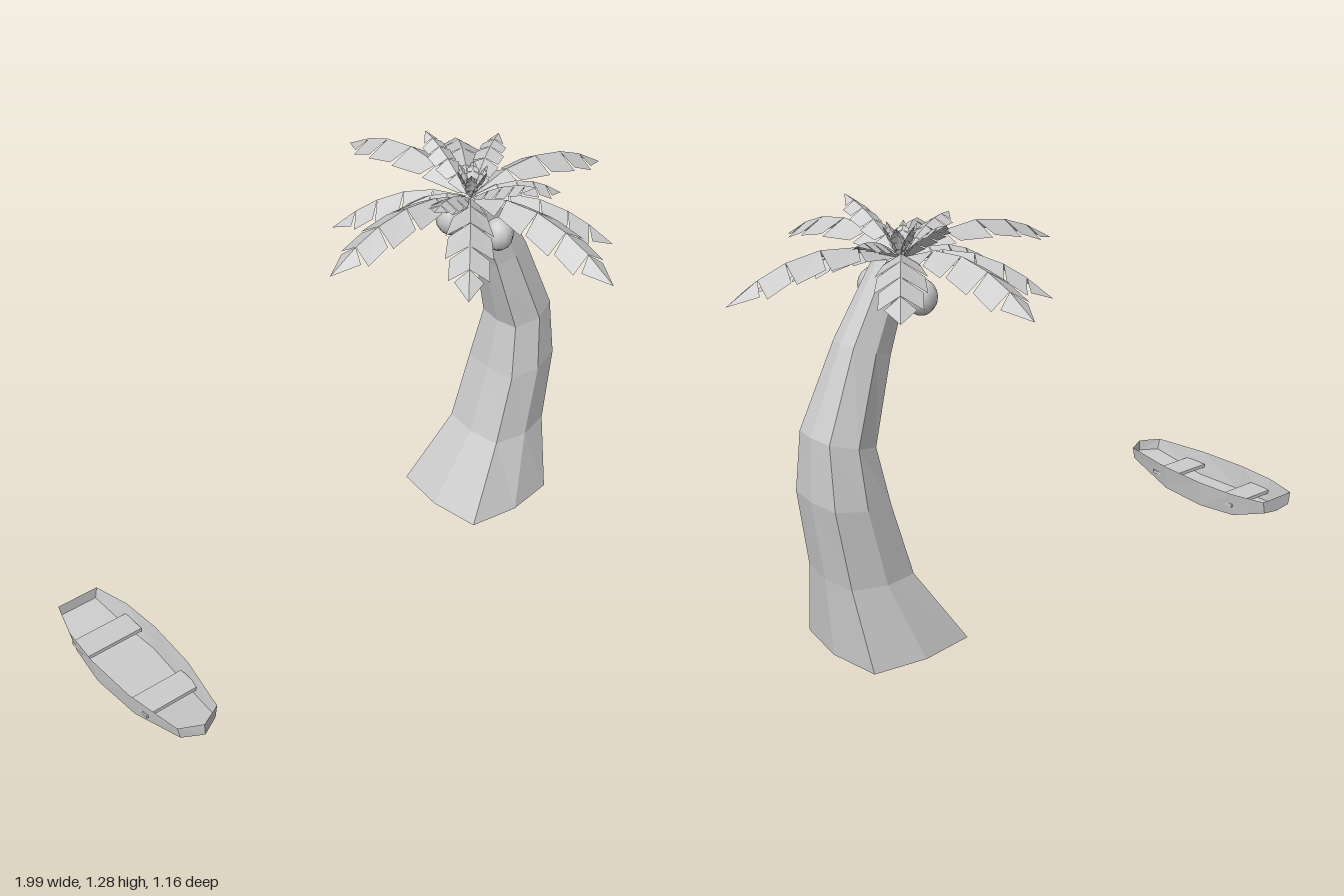
import * as THREE from 'three';

const V = (x, y, z) => new THREE.Vector3(x, y, z);

// Faceted geometry from a flat list of triangle corners
function facets(points) {
  const g = new THREE.BufferGeometry().setFromPoints(points);
  g.computeVertexNormals();
  return g;
}

const quad = (out, a, b, c, d) => out.push(a, b, c, a, c, d);

// Skin between successive cross-sections, optionally closed around
function loft(out, sections, closed) {
  for (let s = 0; s < sections.length - 1; s++) {
    const lo = sections[s], up = sections[s + 1], n = lo.length;
    for (let i = 0; i < (closed ? n : n - 1); i++) {
      const j = (i + 1) % n;
      quad(out, lo[i], up[i], up[j], lo[j]);
    }
  }
}

function fan(out, ring, flip) {
  for (let i = 1; i < ring.length - 1; i++) {
    if (flip) out.push(ring[0], ring[i + 1], ring[i]);
    else out.push(ring[0], ring[i], ring[i + 1]);
  }
}

// Bent, tapering eight-sided trunk
function trunkGeometry() {
  // left x, left y, right x, right y, half depth, corner depth
  const rows = [
    [0.35, 0, 0.735, 0, 0.195, 0.17],
    [0.505, 0.235, 0.75, 0.25, 0.135, 0.11],
    [0.57, 0.465, 0.785, 0.5, 0.125, 0.1],
    [0.6, 0.64, 0.775, 0.69, 0.105, 0.075],
    [0.525, 0.89, 0.665, 0.94, 0.07, 0.05],
    [0.44, 1.11, 0.53, 1.16, 0.045, 0.032],
  ];
  const rings = rows.map(([lx, ly, rx, ry, hz, cz]) => {
    const at = (u, z) => V(lx + (rx - lx) * u, ly + (ry - ly) * u, z);
    return [at(1, 0), at(0.93, cz), at(0.5, hz), at(0.06, cz),
      at(0, 0), at(0.06, -cz), at(0.5, -hz), at(0.93, -cz)];
  });
  const out = [];
  loft(out, rings, true);
  fan(out, rings[0], false);
  fan(out, rings[rings.length - 1], true);
  return facets(out);
}

// Folded palm leaf: arched ridge, drooping halves cut into leaflets
function frondGeometry(root, tip, arch, width) {
  const mid = root.clone().lerp(tip, 0.5);
  mid.y += arch;
  const curve = new THREE.QuadraticBezierCurve3(root, mid, tip);
  const side = V(tip.z - root.z, 0, root.x - tip.x).normalize();
  const stops = [0, 0.24, 0.46, 0.66, 0.82, 1];
  const inner = [0.25, 0.72, 0.9, 0.82, 0.6];
  const outer = [0.75, 1, 1, 0.85, 0];
  const out = [];
  for (let i = 0; i < 5; i++) {
    const a = curve.getPoint(stops[i]), b = curve.getPoint(stops[i + 1]);
    for (const s of [1, -1]) {
      const edge = (t, w) => curve.getPoint(t).addScaledVector(side, s * w * width)
        .add(V(0, -0.6 * w * width, 0));
      const step = stops[i + 1] - stops[i];
      const ea = edge(stops[i] + step * 0.18, inner[i]);
      const eb = i === 4 ? b : edge(stops[i + 1] + step * 0.05, outer[i]);
      if (s > 0) quad(out, a, ea, eb, b);
      else quad(out, a, b, eb, ea);
    }
  }
  return facets(out);
}

// Open rowing boat: hull, inner floor and benches
function buildBoat(add) {
  const cx = -0.89;
  // z, gunwale half width, chine half width, chine y, keel y
  const rows = [
    [-0.26, 0.068, 0.06, 0.078, 0.07],
    [-0.14, 0.1, 0.085, 0.037, 0.018],
    [0, 0.11, 0.1, 0.03, 0],
    [0.18, 0.102, 0.088, 0.032, 0.005],
    [0.375, 0.068, 0.06, 0.078, 0.065],
  ];
  const hull = [], floor = [];
  const sections = rows.map(([z, w, c, cy, ky]) => [V(cx - w, 0.12, z), V(cx - c, cy, z),
    V(cx, ky, z), V(cx + c, cy, z), V(cx + w, 0.12, z)]);
  loft(hull, sections.map((s) => [...s].reverse()), false);
  fan(hull, sections[0], true);
  // Pointed bow
  const end = sections[4], top = V(cx, 0.12, 0.41), low = V(cx, 0.078, 0.41);
  quad(hull, end[0], end[1], low, top);
  quad(hull, top, low, end[3], end[4]);
  hull.push(end[1], end[2], low, low, end[2], end[3]);
  add('boatHull', facets(hull));

  loft(floor, rows.map(([z, , c, cy]) => [V(cx - c, cy + 0.004, z), V(cx + c, cy + 0.004, z)]), false);
  floor.push(V(cx - 0.06, 0.082, 0.375), V(cx, 0.082, 0.41), V(cx + 0.06, 0.082, 0.375));
  add('boatFloor', facets(floor));

  for (const [z, depth, w] of [[-0.1, 0.085, 0.19], [0.205, 0.085, 0.178]]) {
    const bench = new THREE.BoxGeometry(w, 0.012, depth);
    add('boatBench', bench.translate(cx, 0.075, z));
  }
}

export function createModel() {
  const model = new THREE.Group();
  model.name = 'palmAndBoat';
  const grey = new THREE.MeshStandardMaterial({ color: 0xcccccc, side: THREE.DoubleSide });
  grey.name = 'lightGrey';
  const add = (name, geometry) => {
    const mesh = new THREE.Mesh(geometry, grey);
    mesh.name = name;
    model.add(mesh);
    return mesh;
  };

  add('trunk', trunkGeometry());

  // Crown: tip x, y, z, arch, half width
  const fronds = [
    [-0.12, 1.1, 0.03, 0.16, 0.068], [0.99, 1.1, 0.03, 0.16, 0.068],
    [0.46, 1.1, -0.58, 0.16, 0.075], [0.46, 1.1, 0.58, 0.16, 0.075],
    [0.73, 1.1, -0.38, 0.14, 0.07], [0.1, 1.09, 0.37, 0.14, 0.07],
    [0.74, 1.02, 0.33, 0.13, 0.068], [0.14, 1.03, -0.28, 0.13, 0.065],
    [0.46, 1.28, 0.26, 0.04, 0.045], [0.46, 1.28, -0.22, 0.04, 0.045],
    [0.68, 1.24, -0.12, 0.05, 0.045], [0.21, 1.22, 0.1, 0.05, 0.045],
    [0.73, 1.11, 0.11, 0.09, 0.05], [0.2, 1.1, -0.1, 0.09, 0.05],
  ];
  for (const [x, y, z, arch, width] of fronds) {
    const out = V(x - 0.45, 0, z).normalize().multiplyScalar(0.015);
    add('frond', frondGeometry(V(0.45 + out.x, 1.15, out.z), V(x, y, z), arch, width));
  }

  // Young upright leaves in the middle
  for (let i = 0; i < 6; i++) {
    const a = (i / 6) * Math.PI * 2 + 0.3;
    const tip = V(0.455 + 0.05 * Math.cos(a), 1.24, 0.05 * Math.sin(a));
    add('youngLeaf', frondGeometry(V(0.455, 1.14, 0), tip, 0.02, 0.02));
  }

  // Coconuts under the crown
  for (const [x, y, z] of [[0.48, 1.05, 0.1], [0.44, 1.045, -0.07]]) {
    const nut = new THREE.SphereGeometry(0.047, 10, 8).scale(1, 1.13, 1);
    add('coconut', nut.translate(x, y, z));
  }

  buildBoat(add);
  return model;
}
